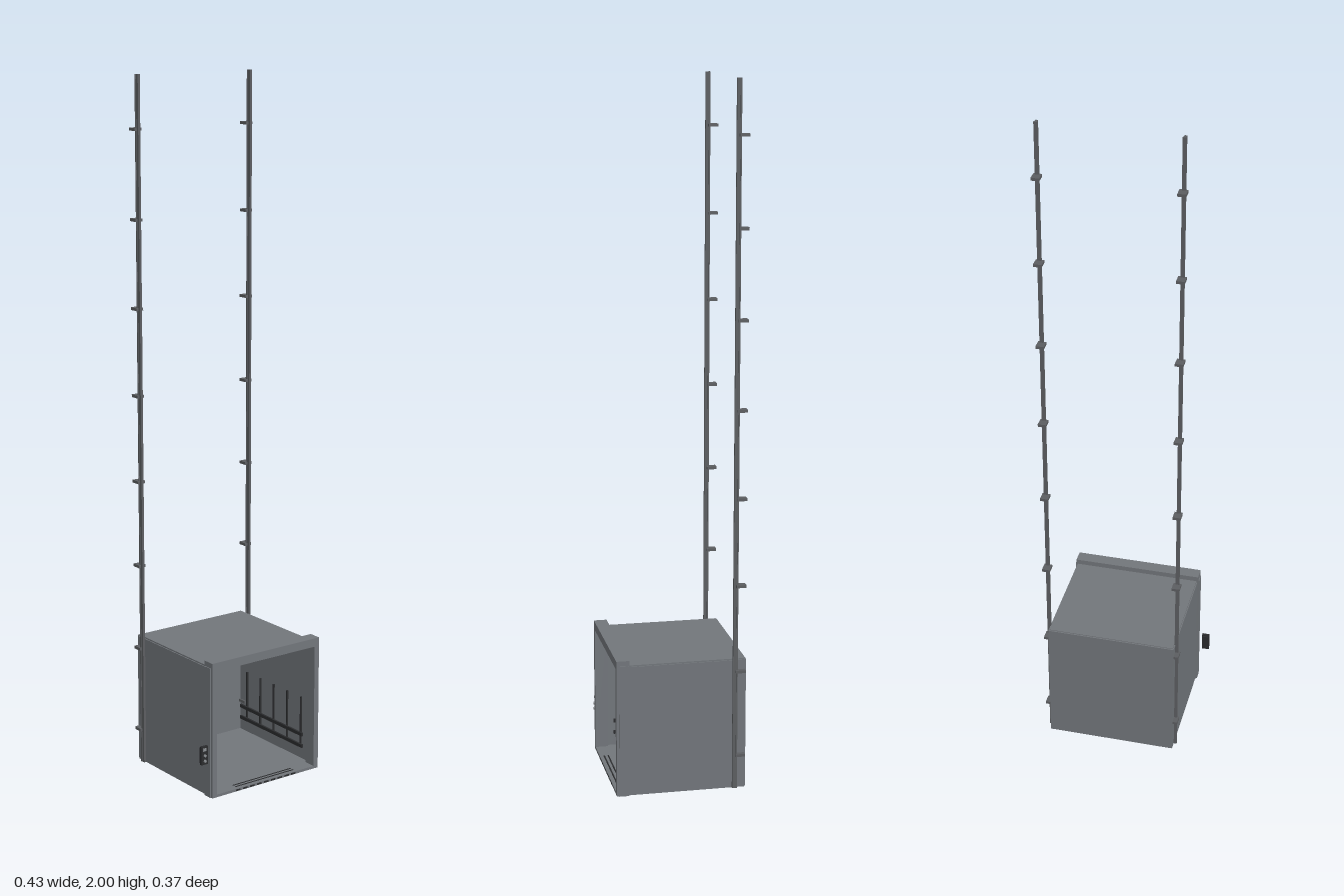
import * as THREE from 'three';

export function createModel() {
  const group = new THREE.Group();
  const mat = (name, color) => {
    const m = new THREE.MeshStandardMaterial({ color });
    m.name = name;
    return m;
  };
  const steel = mat('brushed steel', 0x72767b);
  const rail = mat('rail steel', 0x5c5e61);
  const dark = mat('dark trim', 0x2b2c2e);
  const light = mat('button grey', 0x8c9094);

  // box given by its min and max corners
  const box = (name, material, x0, x1, y0, y1, z0, z1, parent = group) => {
    const m = new THREE.Mesh(new THREE.BoxGeometry(x1 - x0, y1 - y0, z1 - z0), material);
    m.position.set((x0 + x1) / 2, (y0 + y1) / 2, (z0 + z1) / 2);
    m.name = name;
    parent.add(m);
    return m;
  };

  // cabin is centred slightly to the left of the overall bounds
  const cx = 0.01;

  // cabin shell
  const cabin = new THREE.Group();
  cabin.name = 'cabin';
  cabin.position.x = cx;
  group.add(cabin);
  box('floor', steel, -0.186, 0.186, 0, 0.008, -0.183, 0.15, cabin);
  box('roof', steel, -0.186, 0.186, 0.375, 0.385, -0.183, 0.15, cabin);
  box('backWall', steel, -0.188, 0.188, 0.002, 0.383, -0.187, -0.183, cabin);

  // front door frame with a rectangular opening
  const outline = new THREE.Shape();
  outline.moveTo(-0.191, 0).lineTo(0.191, 0).lineTo(0.191, 0.4).lineTo(-0.191, 0.4).closePath();
  const hole = new THREE.Path();
  hole.moveTo(-0.175, 0.008).lineTo(-0.175, 0.375).lineTo(0.175, 0.375).lineTo(0.175, 0.008).closePath();
  outline.holes.push(hole);
  const frame = new THREE.Mesh(
    new THREE.ExtrudeGeometry(outline, { depth: 0.038, bevelEnabled: false }), steel);
  frame.position.z = 0.147;
  frame.name = 'doorFrame';
  cabin.add(frame);

  // sill grooves and teeth
  for (let i = 0; i < 9; i++) {
    const x = -0.1 + i * 0.025;
    box('sillTooth', dark, x - 0.008, x + 0.008, 0.001, 0.006, 0.184, 0.1855, cabin);
  }
  for (const z of [0.158, 0.17]) {
    box('sillGroove', dark, -0.1, 0.11, 0.008, 0.009, z, z + 0.004, cabin);
  }

  for (const s of [-1, 1]) {
    const sideBox = (name, material, a, b, ...rest) =>
      box(name, material, Math.min(s * a, s * b), Math.max(s * a, s * b), ...rest, cabin);

    // side wall and jamb cover
    sideBox('sideWall', steel, 0.185, 0.189, 0, 0.381, -0.184, 0.15);
    sideBox('jambCover', steel, 0.19, 0.194, 0, 0.385, 0.151, 0.178);

    // inner handrails and slim uprights
    for (const y of [0.046, 0.082]) {
      sideBox('handrail', dark, 0.174, 0.18, y, y + 0.01, -0.17, 0.13);
    }
    for (let i = 0; i < 5; i++) {
      const z = 0.115 - i * 0.065;
      sideBox('upright', dark, 0.18, 0.185, 0.046, 0.2, z - 0.002, z + 0.002);
    }

    // guide rail with a T section
    sideBox('guideRailBlade', rail, 0.189, 0.196, 0, 2, -0.157, -0.148);
    sideBox('guideRailFlange', rail, 0.187, 0.198, 0, 2, -0.161, -0.157);

    // wall brackets along the rail
    for (let i = 0; i < 8; i++) {
      const y = 0.1 + i * 0.25;
      sideBox('railBracket', rail, 0.18, 0.203, y - 0.004, y + 0.004, -0.183, -0.155);
    }
  }

  // call panel beside the door
  const panel = new THREE.Group();
  panel.name = 'callPanel';
  group.add(panel);
  box('panelBack', dark, -0.213, -0.195, 0.11, 0.156, 0.168, 0.172, panel);
  box('panelFace', dark, -0.215, -0.193, 0.106, 0.16, 0.172, 0.18, panel);
  box('panelDisplay', light, -0.21, -0.198, 0.146, 0.155, 0.18, 0.181, panel);
  for (const y of [0.117, 0.133]) {
    const b = new THREE.Mesh(new THREE.CylinderGeometry(0.004, 0.004, 0.004, 16), light);
    b.rotation.x = Math.PI / 2;
    b.position.set(-0.204, y, 0.182);
    b.name = 'callButton';
    panel.add(b);
  }

  return group;
}
